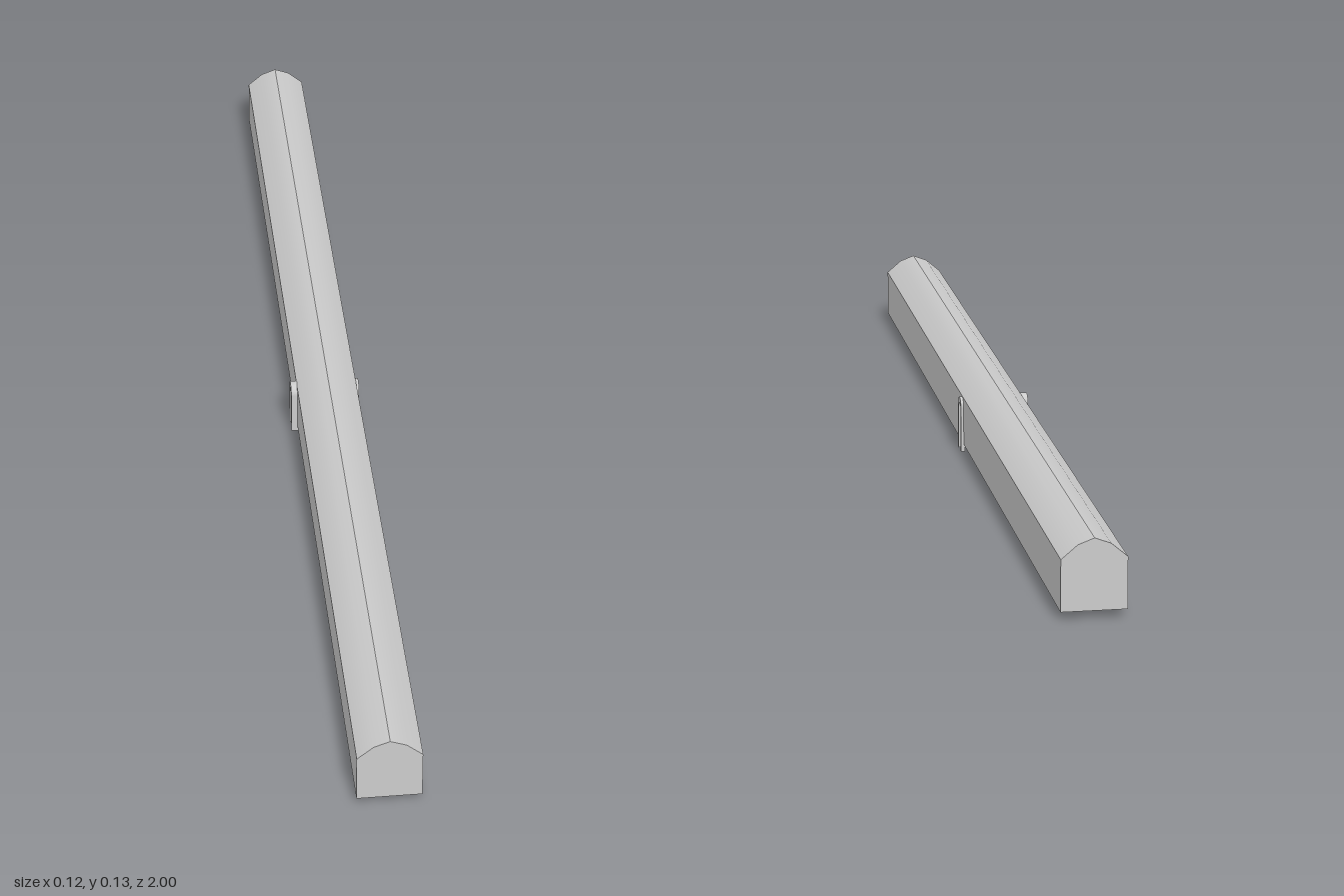
import * as THREE from 'three';

const material = new THREE.MeshStandardMaterial({ color: 0xcccccc, side: THREE.DoubleSide });
const LEFT = 0.055, RIGHT = -0.052, BASE = 0.013, EAVE = 0.099;
const ROOF = [[LEFT, EAVE], [0.028, 0.122], [0.0015, 0.132], [-0.025, 0.122], [RIGHT, EAVE]];
const DOOR = { half: 0.011, spring: 0.076 };

// Sheet swept along the whole length from a cross-section running left to right
function sweep(points) {
  const pos = [], index = [];
  points.forEach(([x, y], i) => {
    pos.push(x, y, 1, x, y, -1);
    if (i) {
      const a = 2 * i - 2;
      index.push(a, a + 1, a + 2, a + 2, a + 1, a + 3);
    }
  });
  const geometry = new THREE.BufferGeometry();
  geometry.setAttribute('position', new THREE.Float32BufferAttribute(pos, 3));
  geometry.setIndex(index);
  geometry.computeVertexNormals();
  return geometry;
}

// Upright round-headed outline, drawn in the plane of a side wall
function archOutline(path, half, spring, bottom) {
  path.moveTo(-half, bottom);
  path.lineTo(half, bottom);
  path.lineTo(half, spring);
  path.absarc(0, spring, half, 0, Math.PI, false);
  path.lineTo(-half, bottom);
  return path;
}

export function createModel() {
  const group = new THREE.Group();
  const add = (name, geometry) => {
    const mesh = new THREE.Mesh(geometry, material);
    mesh.name = name;
    group.add(mesh);
    return mesh;
  };

  // Two curved roof slopes meeting at a sharp ridge, and the floor
  add('roofLeft', sweep(ROOF.slice(0, 3)));
  add('roofRight', sweep(ROOF.slice(2)));
  add('floor', sweep([[RIGHT, BASE], [LEFT, BASE]]));

  // Gable ends
  const gable = new THREE.Shape([[RIGHT, BASE], [LEFT, BASE], ...ROOF].map(p => new THREE.Vector2(...p)));
  add('frontEnd', new THREE.ShapeGeometry(gable).translate(0, 0, 1));
  add('backEnd', new THREE.ShapeGeometry(gable).rotateY(Math.PI).scale(-1, 1, 1).translate(0, 0, -1));
  // Restore the outward winding of the mirrored end
  const back = group.getObjectByName('backEnd').geometry;
  back.setIndex(Array.from(back.index.array).reverse());
  back.computeVertexNormals();

  // Long walls with a central doorway, each framed by a projecting arch
  const sides = [
    { name: 'left', x: LEFT, turn: 1, inner: 0.002, outer: 0.005, bottom: 0, top: 0.098 },
    { name: 'right', x: RIGHT, turn: -1, inner: 0.002, outer: 0.011, bottom: 0.004, top: 0.1 },
  ];
  for (const s of sides) {
    const wall = new THREE.Shape();
    wall.moveTo(-1, BASE);
    wall.lineTo(-DOOR.half, BASE);
    wall.lineTo(-DOOR.half, DOOR.spring);
    wall.absarc(0, DOOR.spring, DOOR.half, Math.PI, 0, true);
    wall.lineTo(DOOR.half, BASE);
    wall.lineTo(1, BASE);
    wall.lineTo(1, EAVE);
    wall.lineTo(-1, EAVE);
    const wallMesh = add(s.name + 'Wall', new THREE.ShapeGeometry(wall, 10));
    wallMesh.rotation.y = s.turn * Math.PI / 2;
    wallMesh.position.x = s.x;

    // Frame: outer arch, down one leg, back round the inner arch
    const half = 0.017, spring = s.top - half;
    const frame = new THREE.Shape();
    frame.moveTo(half, s.bottom);
    frame.lineTo(half, spring);
    frame.absarc(0, spring, half, 0, Math.PI, false);
    frame.lineTo(-half, s.bottom);
    frame.lineTo(-DOOR.half, s.bottom);
    frame.lineTo(-DOOR.half, DOOR.spring);
    frame.absarc(0, DOOR.spring, DOOR.half, Math.PI, 0, true);
    frame.lineTo(DOOR.half, s.bottom);
    const geometry = new THREE.ExtrudeGeometry(frame, {
      depth: s.inner + s.outer, bevelEnabled: false, curveSegments: 10,
    }).translate(0, 0, -s.inner);
    const frameMesh = add(s.name + 'DoorFrame', geometry);
    frameMesh.rotation.y = s.turn * Math.PI / 2;
    frameMesh.position.x = s.x;
  }
  return group;
}
